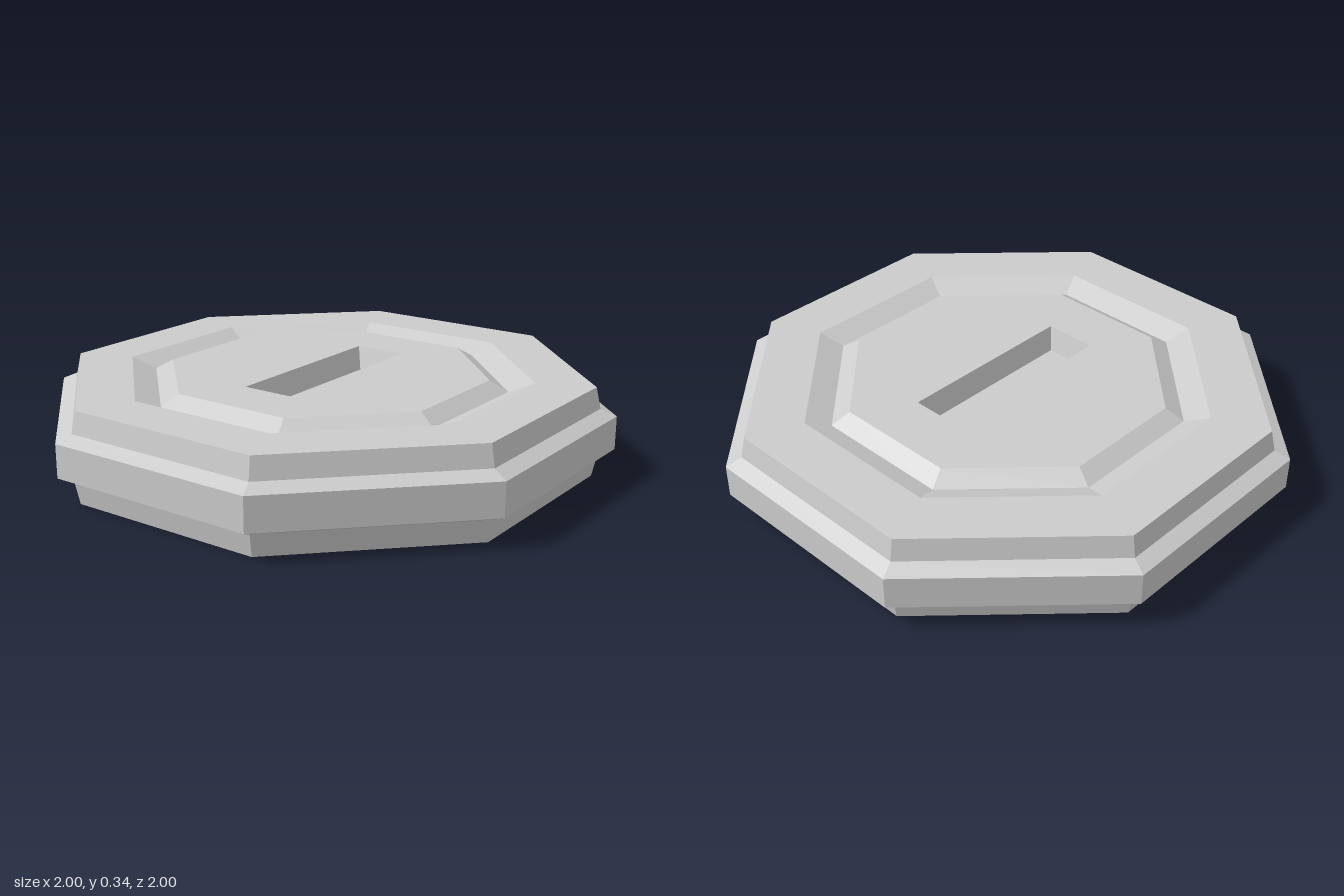
import * as THREE from 'three';

const TOP = 0.34;
const toRadius = 1 / Math.cos(Math.PI / 8); // octagon flat distance -> corner radius

export function createModel() {
  const group = new THREE.Group();
  group.name = 'octagonalCoin';
  const material = new THREE.MeshStandardMaterial({ color: 0xcccccc, flatShading: true });

  const add = (name, geometry) => {
    const flat = geometry.index ? geometry.toNonIndexed() : geometry;
    flat.computeVertexNormals();
    const mesh = new THREE.Mesh(flat, material);
    mesh.name = name;
    group.add(mesh);
    return mesh;
  };

  // Eight-sided ring of faces from a profile of [flat distance, height]
  const octagonLathe = (profile) => new THREE.LatheGeometry(
    profile.map(([d, y]) => new THREE.Vector2(d * toRadius, y)), 8, Math.PI / 8);

  // Stepped rim, from the lower edge over the band to the upper edge
  add('rim', octagonLathe([
    [0.928, 0], [0.945, 0.085], [1, 0.11], [1, 0.235], [0.945, 0.26], [0.928, TOP],
  ]));

  // Top border with the V-shaped groove around the centre
  add('grooveRing', octagonLathe([
    [0.928, TOP], [0.725, TOP], [0.635, TOP - 0.04], [0.57, TOP],
  ]));

  // Octagon outline in the shape plane
  const octagon = (d) => new THREE.Shape(Array.from({ length: 8 }, (_, i) => {
    const a = Math.PI / 8 + i * Math.PI / 4;
    return new THREE.Vector2(Math.cos(a), Math.sin(a)).multiplyScalar(d * toRadius);
  }));

  // Centre face with the slot opening
  const w = 0.102, l = 0.36, depth = 0.09, inset = 0.025;
  const face = octagon(0.57);
  face.holes.push(new THREE.Path([
    new THREE.Vector2(-w, -l), new THREE.Vector2(-w, l),
    new THREE.Vector2(w, l), new THREE.Vector2(w, -l),
  ]));
  add('centreFace', new THREE.ShapeGeometry(face).rotateX(-Math.PI / 2).translate(0, TOP, 0));

  // Flat underside
  add('underside', new THREE.ShapeGeometry(octagon(0.928)).rotateX(Math.PI / 2));

  // Slot recess: a box narrowed at the floor, lid removed and turned inside out
  const slot = new THREE.BoxGeometry(2 * w, depth, 2 * l).translate(0, TOP - depth / 2, 0);
  const p = slot.attributes.position;
  for (let i = 0; i < p.count; i++) {
    if (p.getY(i) > TOP - depth / 2) continue;
    p.setX(i, p.getX(i) - Math.sign(p.getX(i)) * inset);
    p.setZ(i, p.getZ(i) - Math.sign(p.getZ(i)) * inset);
  }
  const index = Array.from(slot.index.array);
  index.splice(12, 6);
  slot.setIndex(index.reverse());
  slot.clearGroups();
  add('slot', slot);

  return group;
}
